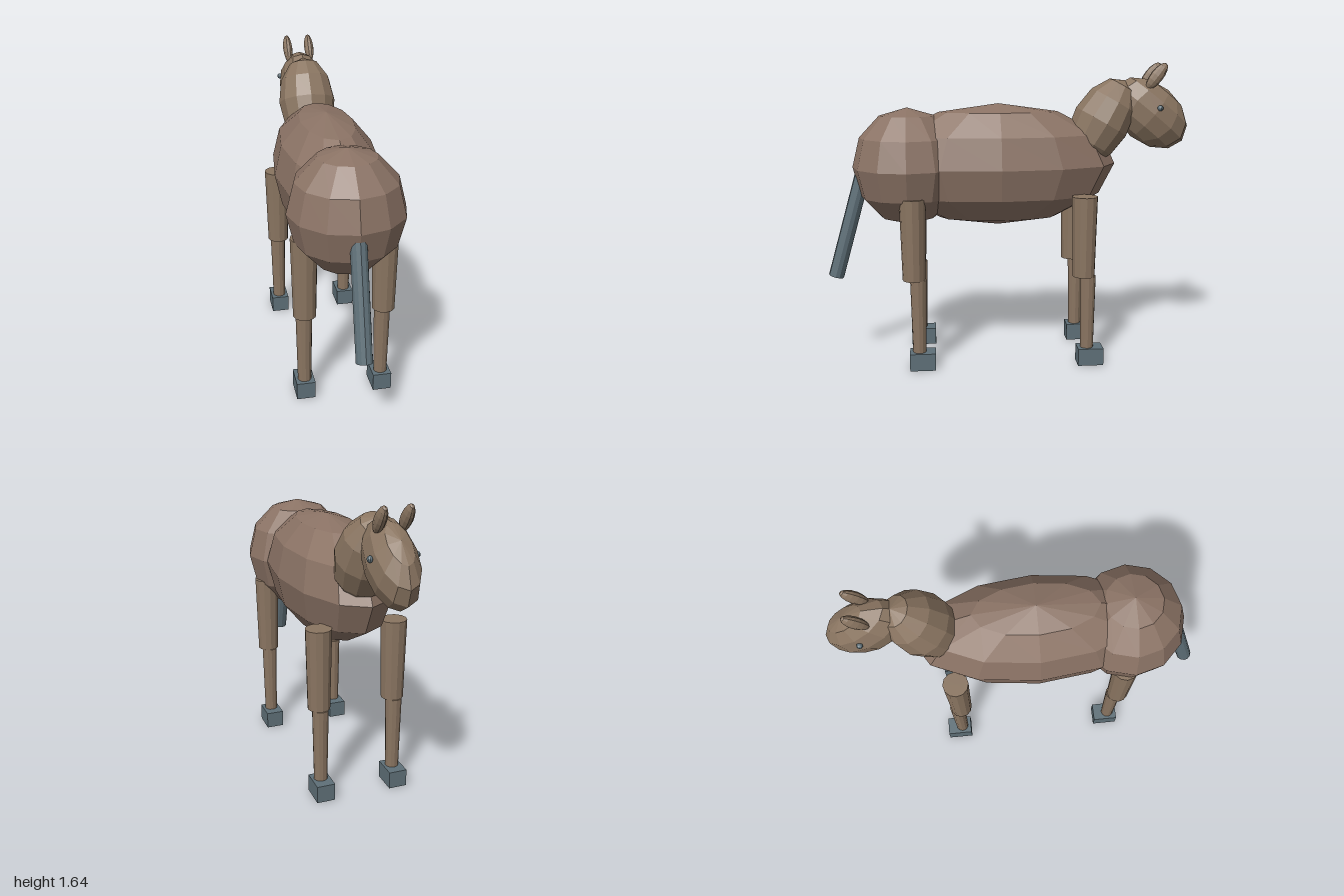
import * as THREE from 'three';

const paint = (color) => new THREE.MeshStandardMaterial({ color, flatShading: true });

export function createModel() {
  const model = new THREE.Group();
  const hide = paint(0x8b7365);
  const coat = paint(0x8a7561);
  const slate = paint(0x5f7078);

  function add(name, geometry, material, [x, y, z], tilt = 0, parent = model) {
    const mesh = new THREE.Mesh(geometry, material);
    mesh.name = name;
    mesh.position.set(x, y, z);
    mesh.rotation.x = tilt;
    parent.add(mesh);
    return mesh;
  }

  // Low-poly ellipsoid with its poles on the local y axis
  const ellipsoid = (rx, ry, rz, sides = 12, rings = 6) =>
    new THREE.SphereGeometry(1, sides, rings).scale(rx, ry, rz);

  // Body, neck and head (the head points towards -z)
  add('torso', ellipsoid(0.28, 0.335, 0.65), hide, [0, 1.09, 0.055]);
  add('rump', ellipsoid(0.3, 0.32, 0.3), hide, [0, 1.085, 0.55]);
  add('neck', ellipsoid(0.165, 0.26, 0.162), coat, [0, 1.32, -0.515], -0.52);
  add('head', ellipsoid(0.12, 0.163, 0.244), coat, [0, 1.365, -0.785], -0.68);

  // Ears and eyes
  for (const side of [-1, 1]) {
    const prefix = side > 0 ? 'left' : 'right';
    add(prefix + 'Ear', ellipsoid(0.028, 0.085, 0.036, 10, 8), coat,
      [side * 0.065, 1.57, -0.803], -0.65);
    add(prefix + 'Eye', new THREE.SphereGeometry(0.016, 10, 8), slate,
      [side * 0.115, 1.4, -0.815]);
  }

  // Tail, hanging back from the rump
  const tailLength = 0.64;
  const tailTilt = -0.28;
  const tail = new THREE.CylinderGeometry(0.042, 0.042, tailLength, 12)
    .translate(0, tailLength / 2, 0);
  add('tail', tail, slate, [0, 0.475, 0.96], tailTilt);

  // Four legs, each with an upper part, a lower part and a hoof set slightly forward
  for (const [end, z] of [['front', -0.395], ['hind', 0.525]]) {
    for (const side of [-1, 1]) {
      const leg = new THREE.Group();
      leg.name = end + (side > 0 ? 'Left' : 'Right') + 'Leg';
      leg.position.set(side * 0.208, 0, z);
      add('upperLeg', new THREE.CylinderGeometry(0.07, 0.06, 0.44, 12), coat, [0, 0.72, 0], 0, leg);
      add('lowerLeg', new THREE.CylinderGeometry(0.044, 0.036, 0.42, 12), coat, [0, 0.29, -0.023], 0, leg);
      add('hoof', new THREE.BoxGeometry(0.1, 0.095, 0.14), slate, [0, 0.0475, -0.04], 0, leg);
      model.add(leg);
    }
  }

  return model;
}
